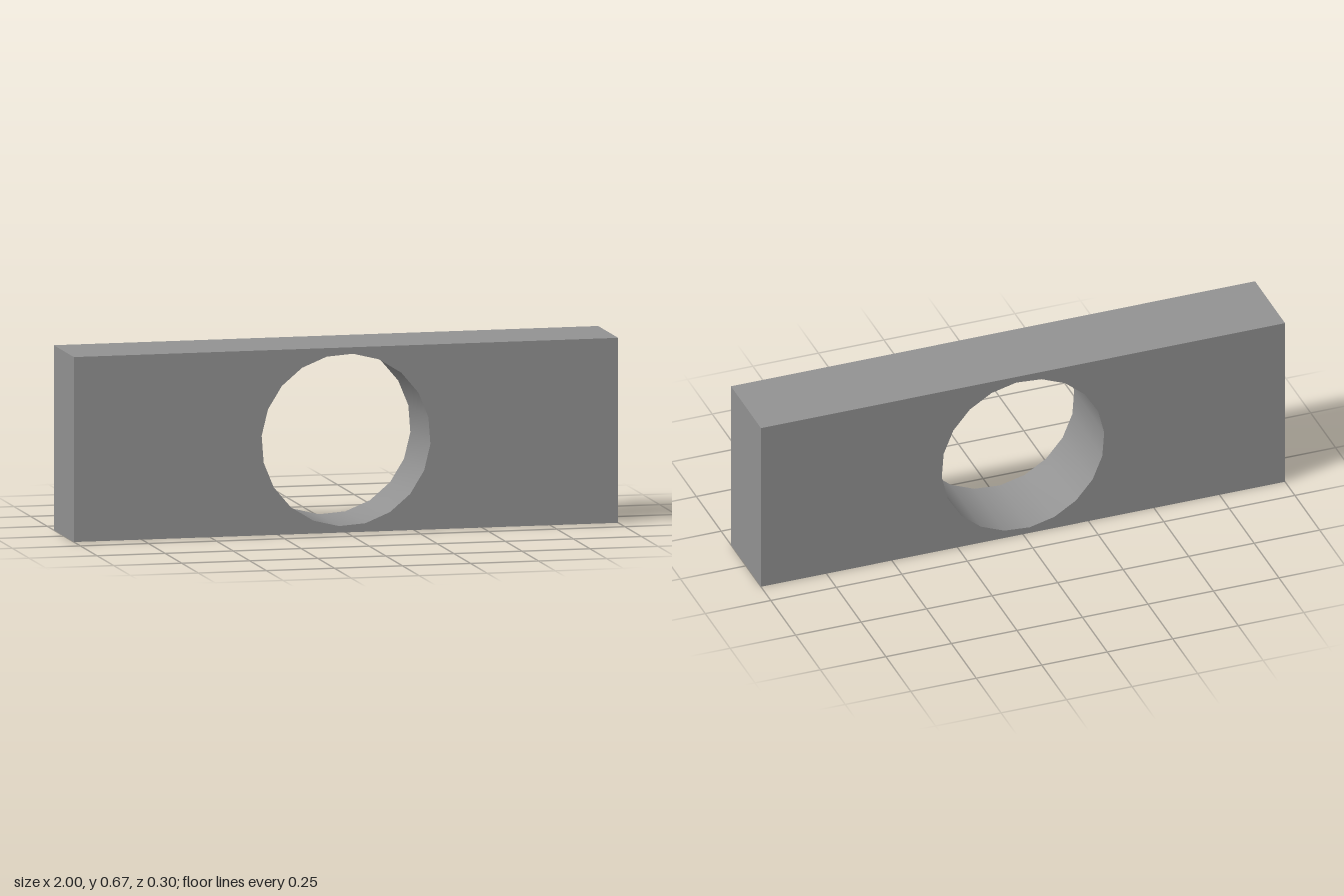
import * as THREE from 'three';
import { toCreasedNormals } from 'three/addons/utils/BufferGeometryUtils.js';

const WIDTH = 2, HEIGHT = 0.667, DEPTH = 0.302;
const HOLE_RADIUS = 0.311, HOLE_SIDES = 20;
const HOLE_TURN = THREE.MathUtils.degToRad(-4.7);

export function createModel() {
  const group = new THREE.Group();
  group.name = 'blockWithHole';

  // Rectangular face outline
  const face = new THREE.Shape([
    new THREE.Vector2(-WIDTH / 2, 0),
    new THREE.Vector2(WIDTH / 2, 0),
    new THREE.Vector2(WIDTH / 2, HEIGHT),
    new THREE.Vector2(-WIDTH / 2, HEIGHT),
  ]);

  // Round through-hole, slightly turned about its axis
  const rim = [];
  for (let i = 0; i < HOLE_SIDES; i++) {
    const a = HOLE_TURN - (i / HOLE_SIDES) * Math.PI * 2;
    rim.push(new THREE.Vector2(
      Math.cos(a) * HOLE_RADIUS,
      HEIGHT / 2 + Math.sin(a) * HOLE_RADIUS,
    ));
  }
  face.holes.push(new THREE.Path(rim));

  // Block: smooth inside the hole, sharp along the edges
  const solid = new THREE.ExtrudeGeometry(face, { depth: DEPTH, bevelEnabled: false });
  solid.translate(0, 0, -DEPTH / 2);
  const block = new THREE.Mesh(
    toCreasedNormals(solid, Math.PI / 6),
    new THREE.MeshStandardMaterial({ color: 0x929292 }),
  );
  block.name = 'block';
  group.add(block);

  return group;
}
